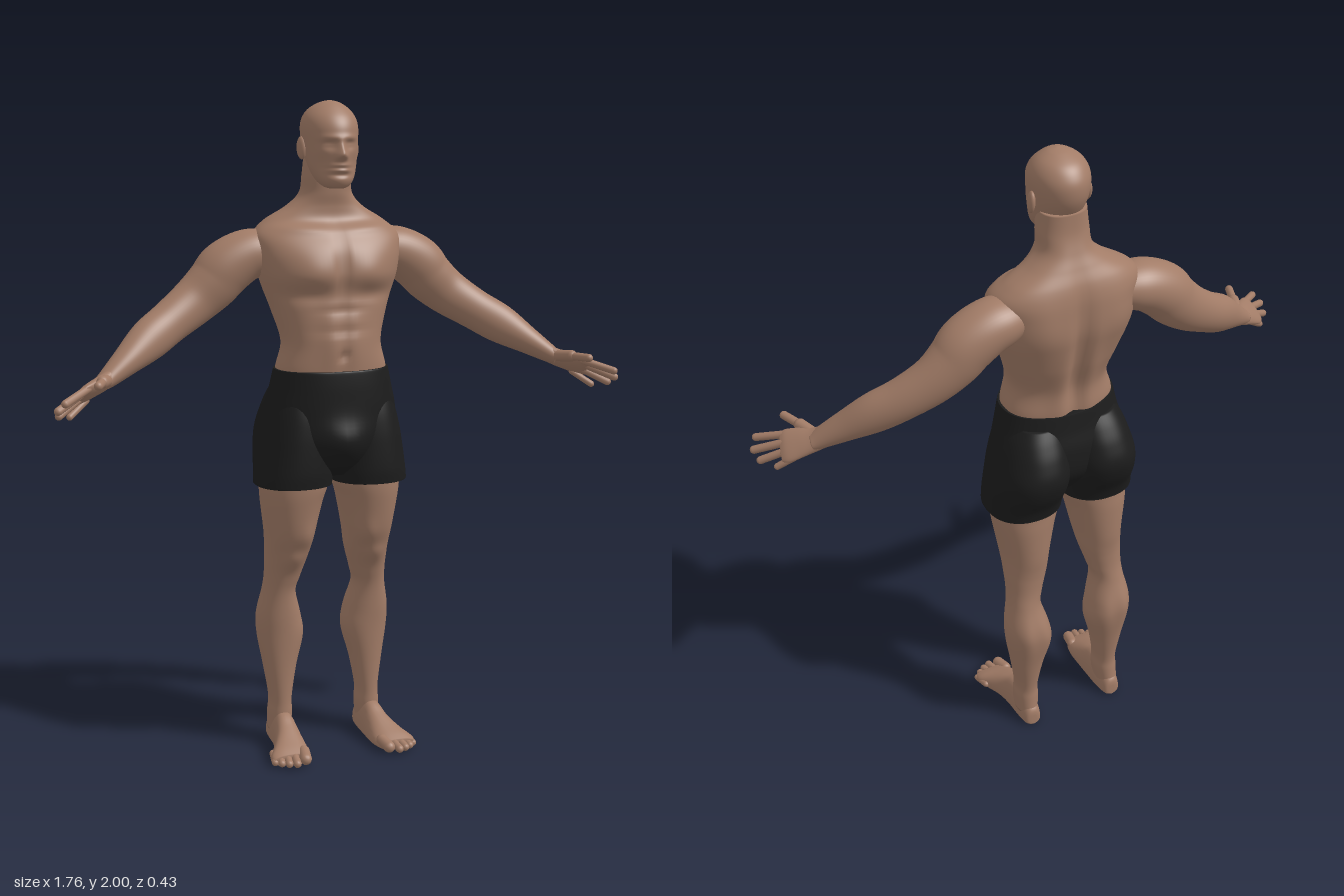
import * as THREE from 'three';

const skin = new THREE.MeshStandardMaterial({ name: 'skin', color: 0xa27c67 });
const cloth = new THREE.MeshStandardMaterial({ name: 'blackCloth', color: 0x1c1c1c });

const V = (x, y, z) => new THREE.Vector3(x, y, z);
const g = (d, s) => Math.exp(-(d * d) / (2 * s * s)); // soft bump
const pw = (v, e) => Math.sign(v) * Math.abs(v) ** e;

// Smooth interpolation of a table of section rows
function refine(rows, steps) {
  const out = [], n = rows.length - 1;
  for (let i = 0; i <= n * steps; i++) {
    const k = Math.min(Math.floor(i / steps), n - 1), t = i / steps - k;
    const [a, b, c, d] = [k - 1, k, k + 1, k + 2].map(j => rows[Math.min(Math.max(j, 0), n)]);
    out.push(b.map((_, m) => 0.5 * (2 * b[m] + (c[m] - a[m]) * t +
      (2 * a[m] - 5 * b[m] + 4 * c[m] - d[m]) * t * t + (3 * b[m] - a[m] - 3 * c[m] + d[m]) * t ** 3)));
  }
  return out;
}

// Closed skin over rings of points, always wound outwards
function skinRings(rings) {
  const seg = rings[0].length, pts = rings.flat(), idx = [];
  for (let i = 0; i < rings.length - 1; i++) for (let j = 0; j < seg; j++) {
    const a = i * seg + j, b = i * seg + (j + 1) % seg;
    idx.push(a, a + seg, b, b, a + seg, b + seg);
  }
  for (const [r, end] of [[0, false], [rings.length - 1, true]]) {
    const mid = rings[r].reduce((s, p) => s.add(p), V(0, 0, 0)).divideScalar(seg);
    const c = pts.push(mid) - 1;
    for (let j = 0; j < seg; j++) {
      const a = r * seg + j, b = r * seg + (j + 1) % seg;
      idx.push(c, ...(end ? [b, a] : [a, b]));
    }
  }
  let vol = 0;
  for (let i = 0; i < idx.length; i += 3)
    vol += pts[idx[i]].dot(V(0, 0, 0).crossVectors(pts[idx[i + 1]], pts[idx[i + 2]]));
  if (vol < 0) idx.reverse();
  const geo = new THREE.BufferGeometry().setFromPoints(pts);
  geo.setIndex(idx);
  geo.computeVertexNormals();
  return geo;
}

const ringOf = (seg, fn) => Array.from({ length: seg }, (_, j) => {
  const a = j / seg * Math.PI * 2;
  return fn(Math.cos(a), Math.sin(a));
});

// Level sections: [y, x min, x max, z front, z back]
function column(rows, side = 1, { e = 1, seg = 64, steps = 6, sculpt } = {}) {
  return skinRings(refine(rows, steps).map(([y, x0, x1, zf, zb]) => ringOf(seg, (c, s) => {
    const p = V((x0 + x1) / 2 + (x1 - x0) / 2 * pw(c, e), y, (zf + zb) / 2 + (zf - zb) / 2 * pw(s, e));
    if (sculpt) sculpt(p, s);
    p.x *= side;
    return p;
  })));
}
const symmetric = rows => rows.map(([y, w, zf, zb]) => [y, -w, w, zf, zb]);

// Sections across a path: [x, y, z, thickness, width], width lies along "across"
function limb(rows, side, across, seg = 32) {
  const r = refine(rows, 6);
  return skinRings(r.map((q, i) => {
    const a = r[Math.max(i - 1, 0)], b = r[Math.min(i + 1, r.length - 1)];
    const t = V(b[0] - a[0], b[1] - a[1], b[2] - a[2]).normalize();
    const w = across.clone().addScaledVector(t, -across.dot(t)).normalize();
    const u = V(0, 0, 0).crossVectors(w, t);
    return ringOf(seg, (c, s) => {
      const p = V(q[0], q[1], q[2]).addScaledVector(u, c * q[3]).addScaledVector(w, s * q[4]);
      p.x *= side;
      return p;
    });
  }));
}

export function createModel() {
  const model = new THREE.Group();
  const add = (name, geo, mat = skin) => {
    const m = new THREE.Mesh(geo, mat);
    m.name = name;
    model.add(m);
    return m;
  };
  // Rounded digit between two points
  const digit = (name, a, b, r, side) => {
    const p = V(a[0] * side, a[1], a[2]), q = V(b[0] * side, b[1], b[2]), d = q.clone().sub(p);
    const m = add(name, new THREE.CapsuleGeometry(r, Math.max(d.length() - r, 0.005), 6, 14));
    m.quaternion.setFromUnitVectors(V(0, 1, 0), d.clone().normalize());
    m.position.copy(p.add(q).addScaledVector(d.normalize(), -r).multiplyScalar(0.5));
  };

  // Torso and neck, with chest, belly and spine modelled in
  add('torso', column(symmetric([
    [1.15, 0.165, 0.08, -0.14], [1.21, 0.17, 0.088, -0.148], [1.29, 0.152, 0.09, -0.147],
    [1.38, 0.175, 0.08, -0.175], [1.45, 0.2, 0.078, -0.192], [1.5, 0.215, 0.083, -0.2],
    [1.56, 0.225, 0.073, -0.2], [1.61, 0.225, 0.042, -0.197], [1.65, 0.185, 0.0, -0.187],
    [1.69, 0.118, -0.008, -0.167], [1.73, 0.079, -0.003, -0.147], [1.78, 0.074, 0, -0.13],
    [1.84, 0.068, 0, -0.125],
  ]), 1, {
    e: 0.85, seg: 96, steps: 8,
    sculpt(p, s) {
      const ax = Math.abs(p.x), y = p.y;
      if (s > 0) {
        const k = Math.min(1, s * 2);
        p.z += k * 0.016 * g(ax - 0.085, 0.05) * g(y - 1.5, 0.04);
        p.z -= k * 0.012 * g(ax - 0.1, 0.06) * g(y - 1.435, 0.018);
        p.z -= k * 0.012 * g(p.x, 0.01) * g(y - 1.52, 0.06);
        p.z += k * 0.008 * g(ax - 0.035, 0.022) * g(y - 1.32, 0.08);
        p.z -= k * 0.006 * (g(y - 1.39, 0.008) + g(y - 1.33, 0.008)) * g(p.x, 0.05);
        p.z -= k * 0.012 * g(p.x, 0.008) * g(y - 1.255, 0.01);
        p.z += k * 0.01 * g(ax - 0.1, 0.07) * g(y - 1.625 - ax * 0.05, 0.01);
      } else {
        const k = Math.min(1, -s * 2);
        p.z += k * 0.026 * g(p.x, 0.018) * g(y - 1.4, 0.14);
        p.z -= k * 0.012 * g(ax - 0.12, 0.045) * g(y - 1.53, 0.06);
        p.z -= k * 0.01 * g(ax - 0.045, 0.025) * g(y - 1.28, 0.09);
      }
    },
  }));

  // Head with brow, eye sockets, nose, lips and cheeks
  add('head', column(symmetric([
    [1.745, 0.02, 0.045, 0], [1.752, 0.038, 0.058, -0.025], [1.77, 0.055, 0.067, -0.06],
    [1.8, 0.068, 0.067, -0.09], [1.84, 0.076, 0.068, -0.122], [1.88, 0.081, 0.066, -0.142],
    [1.92, 0.084, 0.061, -0.146], [1.95, 0.078, 0.045, -0.135], [1.975, 0.06, 0.019, -0.112],
    [1.993, 0.031, -0.008, -0.073], [2, 0.004, -0.033, -0.04],
  ]), 1, {
    seg: 112, steps: 10,
    sculpt(p, s) {
      if (s < 0) return;
      const ax = Math.abs(p.x), y = p.y;
      p.z += s * (0.018 * g(p.x, 0.011) * g(y - 1.842, 0.011) + 0.012 * g(p.x, 0.009) * g(y - 1.862, 0.016)
        + 0.006 * g(ax - 0.013, 0.006) * g(y - 1.838, 0.007)
        - 0.013 * g(ax - 0.032, 0.014) * g(y - 1.872, 0.009)
        + 0.006 * g(ax - 0.032, 0.012) * g(y - 1.871, 0.005)
        + 0.006 * g(ax - 0.028, 0.026) * g(y - 1.891, 0.007)
        + 0.006 * g(p.x, 0.022) * (g(y - 1.812, 0.005) + g(y - 1.798, 0.005))
        - 0.004 * g(p.x, 0.025) * g(y - 1.805, 0.003)
        - 0.006 * g(p.x, 0.025) * g(y - 1.785, 0.006)
        - 0.01 * g(ax - 0.052, 0.014) * g(y - 1.815, 0.022));
    },
  }));

  // Shorts: hip section
  add('shortsHips', column(symmetric([
    [1.21, 0.177, 0.098, -0.156], [1.2, 0.179, 0.1, -0.158], [1.15, 0.19, 0.102, -0.166],
    [1.08, 0.206, 0.101, -0.18], [1.0, 0.2, 0.096, -0.175], [0.93, 0.13, 0.075, -0.13],
    [0.885, 0.05, 0.04, -0.09],
  ]), 1, {
    e: 0.9,
    sculpt(p, s) { if (s > 0) p.z += s * 0.026 * g(p.x, 0.05) * g(p.y - 0.99, 0.045); },
  }), cloth);

  for (const side of [1, -1]) {
    const n = side > 0 ? 'left' : 'right';

    // Shorts: seat and leg
    add(n + 'ShortsLeg', column([
      [1.17, 0.01, 0.165, 0.05, -0.15], [1.13, 0.005, 0.188, 0.07, -0.175], [1.08, 0, 0.206, 0.082, -0.2],
      [1.02, -0.002, 0.222, 0.088, -0.217], [0.96, -0.002, 0.231, 0.09, -0.203], [0.9, 0, 0.237, 0.09, -0.172],
      [0.865, 0.003, 0.24, 0.087, -0.16], [0.857, 0.003, 0.24, 0.086, -0.159],
    ], side, { e: 0.88 }), cloth);

    // Leg from thigh to ankle
    add(n + 'Leg', column([
      [0.93, 0.012, 0.222, 0.075, -0.16], [0.86, 0.012, 0.222, 0.075, -0.158], [0.8, 0.03, 0.217, 0.068, -0.16],
      [0.7, 0.052, 0.203, 0.046, -0.158], [0.64, 0.062, 0.199, 0.014, -0.152], [0.6, 0.072, 0.198, -0.004, -0.15],
      [0.55, 0.087, 0.197, -0.02, -0.152], [0.5, 0.098, 0.201, -0.032, -0.162], [0.42, 0.078, 0.216, -0.038, -0.184],
      [0.35, 0.068, 0.214, -0.043, -0.183], [0.25, 0.093, 0.197, -0.048, -0.165], [0.15, 0.111, 0.182, -0.05, -0.15],
      [0.1, 0.11, 0.185, -0.048, -0.153], [0.04, 0.116, 0.184, -0.045, -0.16],
    ], side, {
      e: 0.94,
      sculpt(p, s) {
        if (s > 0) {
          p.z += s * 0.014 * g(p.x - 0.13, 0.03) * g(p.y - 0.62, 0.025);
          p.z += s * 0.01 * g(p.x - 0.09, 0.025) * g(p.y - 0.69, 0.03);
        } else p.z += s * 0.008 * (g(p.x - 0.1, 0.02) + g(p.x - 0.18, 0.02)) * g(p.y - 0.4, 0.05);
      },
    }));

    // Foot, built from heel to ball: [z, x inner, x outer, top]
    const foot = [
      [-0.166, 0.138, 0.158, 0.04], [-0.157, 0.122, 0.176, 0.065], [-0.11, 0.113, 0.184, 0.1],
      [-0.05, 0.11, 0.188, 0.108], [0, 0.108, 0.198, 0.085], [0.05, 0.107, 0.22, 0.061],
      [0.085, 0.112, 0.236, 0.045], [0.11, 0.122, 0.232, 0.032],
    ];
    add(n + 'Foot', skinRings(refine(foot, 5).map(([z, x0, x1, top]) => ringOf(36, (c, s) =>
      V(side * ((x0 + x1) / 2 + (x1 - x0) / 2 * pw(c, 0.8)), s > 0 ? 0.018 + (top - 0.018) * s : 0.018 * (1 - pw(-s, 0.6)), z)))));
    [[0.13, 0.141, 0.147, 0.018], [0.163, 0.17, 0.153, 0.0125], [0.185, 0.193, 0.144, 0.012],
      [0.204, 0.213, 0.131, 0.0115], [0.22, 0.23, 0.114, 0.011]].forEach(([x0, x1, z, r]) =>
      digit(n + 'Toe', [x0, r + 0.011, z - 0.06], [x1, r, z], r, side));

    // Arm from shoulder to wrist
    add(n + 'Arm', limb([
      [0.14, 1.565, -0.1, 0.05, 0.06], [0.2, 1.557, -0.1, 0.07, 0.078], [0.255, 1.542, -0.1, 0.078, 0.082],
      [0.31, 1.508, -0.098, 0.083, 0.08], [0.35, 1.465, -0.096, 0.079, 0.073], [0.41, 1.415, -0.088, 0.071, 0.062],
      [0.49, 1.362, -0.06, 0.063, 0.058], [0.565, 1.315, -0.022, 0.06, 0.054], [0.64, 1.265, 0.022, 0.042, 0.045],
      [0.7, 1.225, 0.056, 0.028, 0.035], [0.72, 1.214, 0.068, 0.022, 0.033],
    ], side, V(0, 0, 1), 48));

    // Hand with spread fingers
    add(n + 'Palm', limb([
      [0.675, 1.238, 0.042, 0.024, 0.03], [0.715, 1.216, 0.066, 0.022, 0.035], [0.75, 1.203, 0.088, 0.02, 0.044],
      [0.785, 1.19, 0.108, 0.016, 0.05], [0.802, 1.184, 0.118, 0.009, 0.044],
    ], side, V(0, 0.5, 0.85)));
    [[[0.775, 1.21, 0.135], [0.858, 1.18, 0.206], 0.0115], [[0.785, 1.197, 0.117], [0.875, 1.155, 0.182], 0.012],
      [[0.785, 1.182, 0.098], [0.868, 1.135, 0.15], 0.0115], [[0.77, 1.168, 0.078], [0.83, 1.124, 0.112], 0.01],
    ].forEach(([a, b, r]) => digit(n + 'Finger', a, b, r, side));
    digit(n + 'ThumbBase', [0.705, 1.22, 0.065], [0.74, 1.229, 0.155], 0.018, side);
    digit(n + 'Thumb', [0.728, 1.227, 0.125], [0.763, 1.228, 0.214], 0.0125, side);

    // Ear
    const ear = add(n + 'Ear', new THREE.SphereGeometry(1, 20, 14));
    ear.scale.set(0.011, 0.034, 0.021);
    ear.position.set(side * 0.084, 1.862, -0.048);
    ear.rotation.set(-0.2, side * -0.25, 0);
  }
  return model;
}
